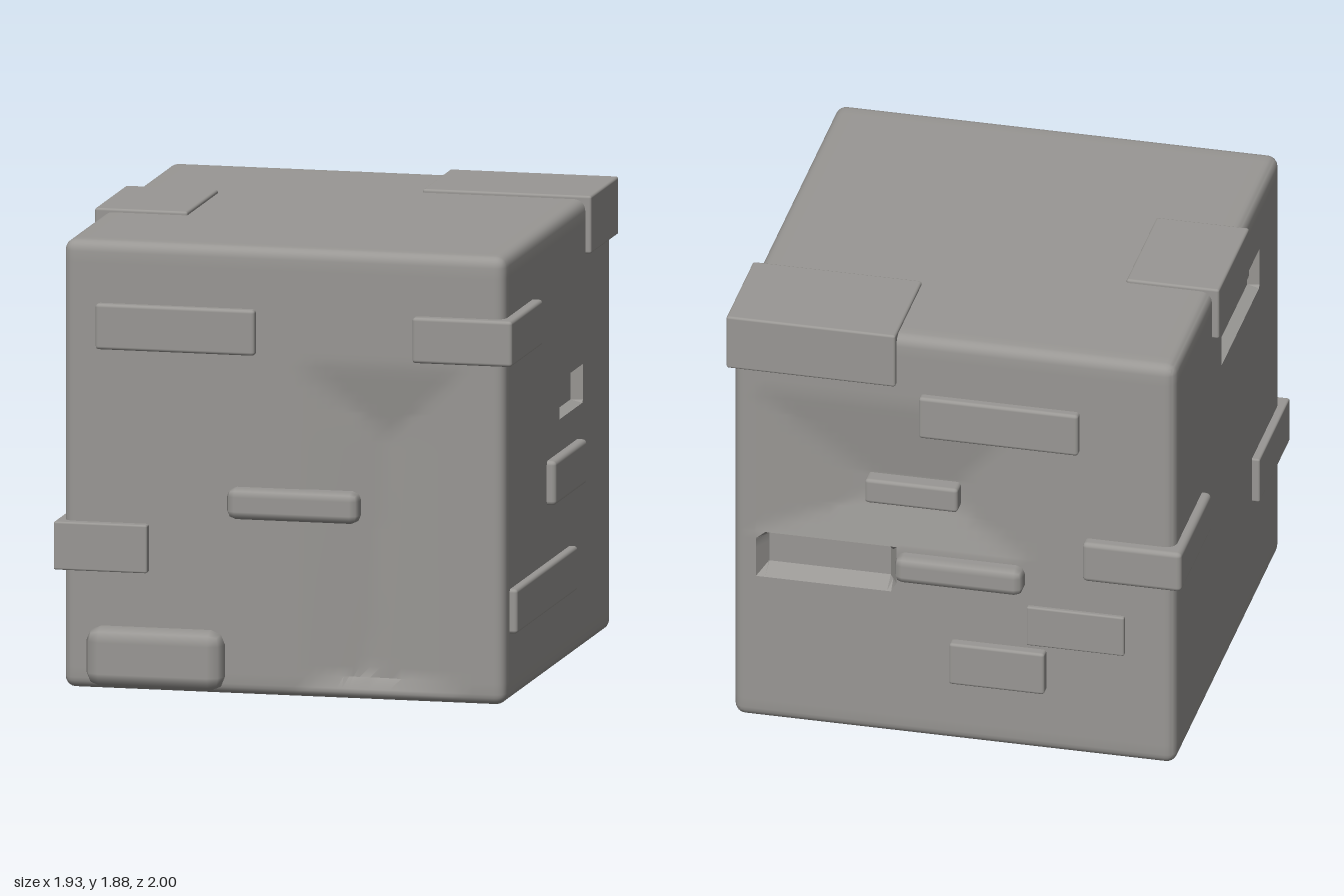
import * as THREE from 'three';
import { toCreasedNormals } from 'three/addons/utils/BufferGeometryUtils.js';
import { RoundedBoxGeometry } from 'three/addons/geometries/RoundedBoxGeometry.js';

const LO = [-0.93, 0.005, -0.937], HI = [0.925, 1.865, 0.925], R = 0.045;
const clamp = THREE.MathUtils.clamp;

// Sunken bricks: axis and side of the face, ranges on the other two axes, depth, wall width
const recesses = [
  { axis: 0, side: 1, u: 1, ur: [1.03, 1.19], v: 2, vr: [-0.44, -0.03], depth: 0.05, wall: 0.012 },
  { axis: 0, side: -1, u: 1, ur: [1.43, 1.61], v: 2, vr: [-0.11, 0.57], depth: 0.05, wall: 0.012 },
  { axis: 2, side: -1, u: 1, ur: [0.67, 0.88], v: 0, vr: [0.24, 0.83], depth: 0.07, wall: 0.04 },
];

// Sorted grid lines along one axis, denser at rounded edges and recess walls
function gridLines(axis) {
  const lo = LO[axis], hi = HI[axis], n = 40, list = [];
  for (const t of [0, 0.3, 0.65]) list.push(lo + R * t, hi - R * t);
  for (let i = 0; i <= n; i++) list.push(lo + R + (hi - lo - 2 * R) * i / n);
  for (const c of recesses) {
    const range = c.u === axis ? c.ur : c.v === axis ? c.vr : null;
    if (range) list.push(range[0], range[0] + c.wall, range[1] - c.wall, range[1]);
  }
  return list.sort((a, b) => a - b);
}

// Shallow creased hollow on the front
function frontHollow(x, y) {
  const valley = 0.33 + 0.1 * clamp((y - 0.05) / 1.05, 0, 1);
  return 0.05 * clamp(Math.min((x - 0.05) / (valley - 0.05), (0.76 - x) / (0.76 - valley),
    (1.4 - y) / 0.3, (y - 0.045) / 0.06), 0, 1);
}

// Shallow pyramid hollow on the back
function backHollow(x, y) {
  return 0.05 * clamp(Math.min((0.85 - x) / 0.47, (x + 0.3) / 0.29,
    (1.55 - y) / 0.36, (y - 0.88) / 0.2), 0, 1);
}

// Rounded block with hollows and sunken bricks
function blockGeometry() {
  const lines = [0, 1, 2].map(gridLines);
  const n = lines.map((l) => l.length - 1);
  const geo = new THREE.BoxGeometry(1, 1, 1, n[0], n[1], n[2]);
  const pos = geo.attributes.position;
  for (let i = 0; i < pos.count; i++) {
    const p = [0, 1, 2].map((a) => lines[a][Math.round((pos.getComponent(i, a) + 0.5) * n[a])]);
    const inner = p.map((c, a) => clamp(c, LO[a] + R, HI[a] - R));
    const d = new THREE.Vector3(p[0] - inner[0], p[1] - inner[1], p[2] - inner[2]).setLength(R);
    const q = [inner[0] + d.x, inner[1] + d.y, inner[2] + d.z];
    if (p[2] === HI[2]) q[2] -= frontHollow(p[0], p[1]);
    if (p[2] === LO[2]) q[2] += backHollow(p[0], p[1]);
    for (const c of recesses) {
      if (p[c.axis] !== (c.side > 0 ? HI : LO)[c.axis]) continue;
      const inside = Math.min(p[c.u] - c.ur[0], c.ur[1] - p[c.u], p[c.v] - c.vr[0], c.vr[1] - p[c.v]);
      q[c.axis] -= c.side * c.depth * clamp(inside / c.wall, 0, 1);
    }
    pos.setXYZ(i, q[0], q[1], q[2]);
  }
  return toCreasedNormals(geo, 0.6);
}

export function createModel() {
  const group = new THREE.Group();
  const stone = new THREE.MeshStandardMaterial({ color: 0x999794 });
  stone.name = 'stone grey';

  const block = new THREE.Mesh(blockGeometry(), stone);
  block.name = 'block';
  group.add(block);

  // Raised brick given by its extents on each axis
  function brick(name, [x0, x1], [y0, y1], [z0, z1], radius = 0.014, segments = 2) {
    const geo = new RoundedBoxGeometry(x1 - x0, y1 - y0, z1 - z0, segments, radius);
    const mesh = new THREE.Mesh(geo, stone);
    mesh.name = name;
    mesh.position.set((x0 + x1) / 2, (y0 + y1) / 2, (z0 + z1) / 2);
    group.add(mesh);
  }

  // Bricks wrapping edges and corners
  brick('topBackCornerBrick', [0.24, 0.95], [1.64, 1.88], [-0.96, -0.48], 0.01);
  brick('topSideBrick', [-0.96, -0.57], [1.65, 1.88], [-0.28, 0.26], 0.01);
  brick('frontLeftCornerBrick', [0.545, 0.965], [1.42, 1.61], [0.42, 0.965]);
  brick('frontRightCornerBrick', [-0.963, -0.57], [0.5, 0.7], [0.43, 0.965], 0.008);
  brick('backRightCornerBrick', [-0.967, -0.55], [0.845, 1.025], [-0.985, -0.44], 0.02);

  // Front bricks
  brick('frontUpperBrick', [-0.79, -0.12], [1.42, 1.61], [0.8, 0.957]);
  brick('frontBar', [-0.235, 0.32], [0.74, 0.87], [0.88, 0.985], 0.035, 1);
  brick('frontBaseBrick', [-0.83, -0.25], [0.02, 0.27], [0.8, 1.0], 0.06, 1);

  // Left side bricks
  brick('sideMiddleBrick', [0.8, 0.963], [0.71, 0.895], [-0.36, 0.19], 0.018);
  brick('sideLowerBrick', [0.8, 0.957], [0.29, 0.475], [-0.22, 0.835]);

  // Back bricks
  brick('backUpperBrick', [-0.53, 0.14], [1.42, 1.61], [-0.972, -0.8]);
  brick('backLedge', [-0.02, 0.37], [1.08, 1.19], [-0.955, -0.8], 0.015);
  brick('backBar', [-0.3, 0.24], [0.74, 0.86], [-1.0, -0.89], 0.035, 1);
  brick('backSmallBrick', [-0.72, -0.31], [0.5, 0.68], [-0.955, -0.8], 0.008);
  brick('backLowerBrick', [-0.39, 0.01], [0.29, 0.48], [-0.98, -0.8], 0.012);
  return group;
}
